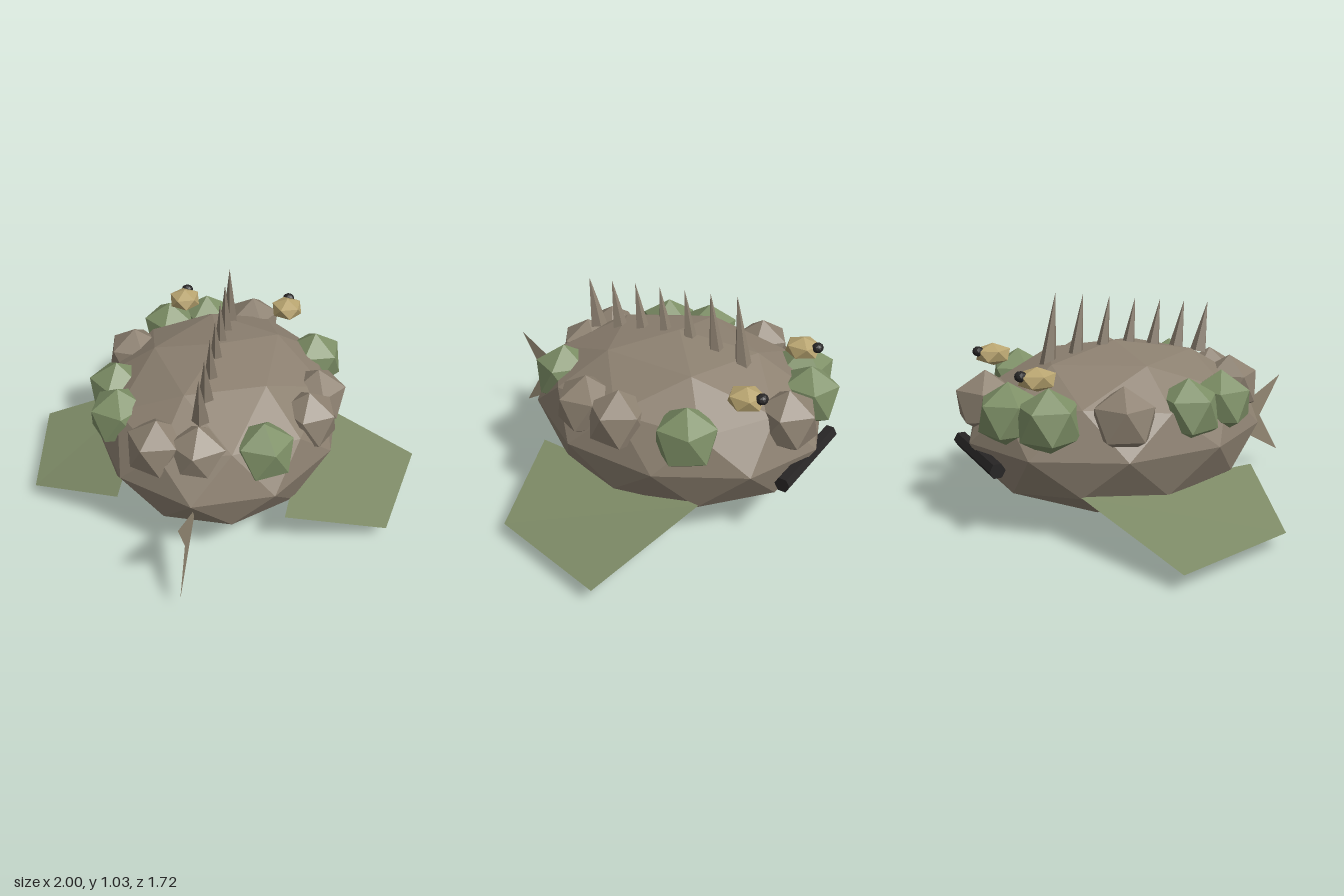
import * as THREE from 'three';

const paint = (color, side = THREE.FrontSide) =>
  new THREE.MeshStandardMaterial({ color, flatShading: true, side });
const skin = paint(0x8c8070);
const moss = paint(0x7d8f66);
const finMat = paint(0x7d8a66, THREE.DoubleSide);
const tailMat = paint(0x938873, THREE.DoubleSide);
const eyeMat = paint(0xb8a470);
const dark = paint(0x262424);

// Icosahedron standing on a vertex, stretched to the given radii
function stone(rx, ry, rz, detail = 0, turn = 0) {
  const geo = new THREE.IcosahedronGeometry(1, detail);
  geo.rotateZ(Math.atan(2 / (1 + Math.sqrt(5))));
  geo.rotateY(turn);
  geo.scale(rx, ry, rz);
  return geo;
}

// Flat polygon through the given corners, as a fan from the first one
function sheet(corners) {
  const geo = new THREE.BufferGeometry();
  geo.setAttribute('position', new THREE.Float32BufferAttribute(corners.flat(), 3));
  const index = [];
  for (let i = 1; i < corners.length - 1; i++) index.push(0, i, i + 1);
  geo.setIndex(index);
  geo.computeVertexNormals();
  return geo;
}

export function createModel() {
  const group = new THREE.Group();
  const add = (name, geo, mat, x = 0, y = 0, z = 0) => {
    const mesh = new THREE.Mesh(geo, mat);
    mesh.name = name;
    mesh.position.set(x, y, z);
    group.add(mesh);
    return mesh;
  };

  // Faceted body
  const midZ = -0.115;
  add('body', stone(0.605, 0.395, 0.725, 1), skin, 0, 0.395, midZ);

  // Ring of warts around the back: x, z, mossy or not
  const warts = [
    [-0.17, -0.71, 1], [0.08, -0.725, 0], [-0.35, -0.6, 1], [-0.47, -0.31, 0],
    [-0.48, 0, 1], [-0.42, 0.21, 1], [-0.19, 0.41, 0], [0, 0.42, 0],
    [0.28, 0.35, 1], [0.455, 0.085, 0], [0.48, -0.11, 0], [0.44, -0.43, 1],
  ];
  for (const [x, z, mossy] of warts) {
    const turn = Math.atan2(z - midZ, -x);
    add('wart', stone(0.15, 0.15, 0.15, 0, turn), mossy ? moss : skin, x, 0.55, z);
  }

  // Row of back spines, tallest at the head, leaning to the tail
  for (let i = 0; i < 7; i++) {
    const base = new THREE.Vector3(0, 0.69, -0.455 + i * 0.135);
    const tip = new THREE.Vector3(0, 1.035 - i * 0.0175, base.z + 0.047);
    const axis = tip.clone().sub(base);
    const spine = add('spine', new THREE.ConeGeometry(0.042, axis.length(), 5), skin);
    spine.position.copy(base).add(tip).multiplyScalar(0.5);
    spine.quaternion.setFromUnitVectors(new THREE.Vector3(0, 1, 0), axis.normalize());
  }

  // Eyes, pupils and side fins, mirrored
  for (const s of [-1, 1]) {
    add('eye', stone(0.085, 0.054, 0.09), eyeMat, s * 0.272, 0.722, -0.617);
    add('pupil', stone(0.03, 0.024, 0.027, 1), dark, s * 0.272, 0.742, -0.69);
    add('sideFin', sheet([
      [s * 0.45, 0.23, -0.505], [s, 0.076, -0.33],
      [s * 0.875, 0.076, 0.255], [s * 0.4, 0.21, 0.405],
    ]), finMat);
  }

  // Mouth bar
  const mouth = new THREE.CylinderGeometry(0.036, 0.036, 0.5, 6);
  mouth.rotateZ(Math.PI / 2);
  add('mouth', mouth, dark, 0, 0.337, -0.8);

  // Forked tail
  add('tailFin', sheet([
    [0, 0.297, 0.51], [0, 0.505, 0.866], [0, 0.297, 0.745], [0, 0.09, 0.866],
  ]), tailMat);

  return group;
}
